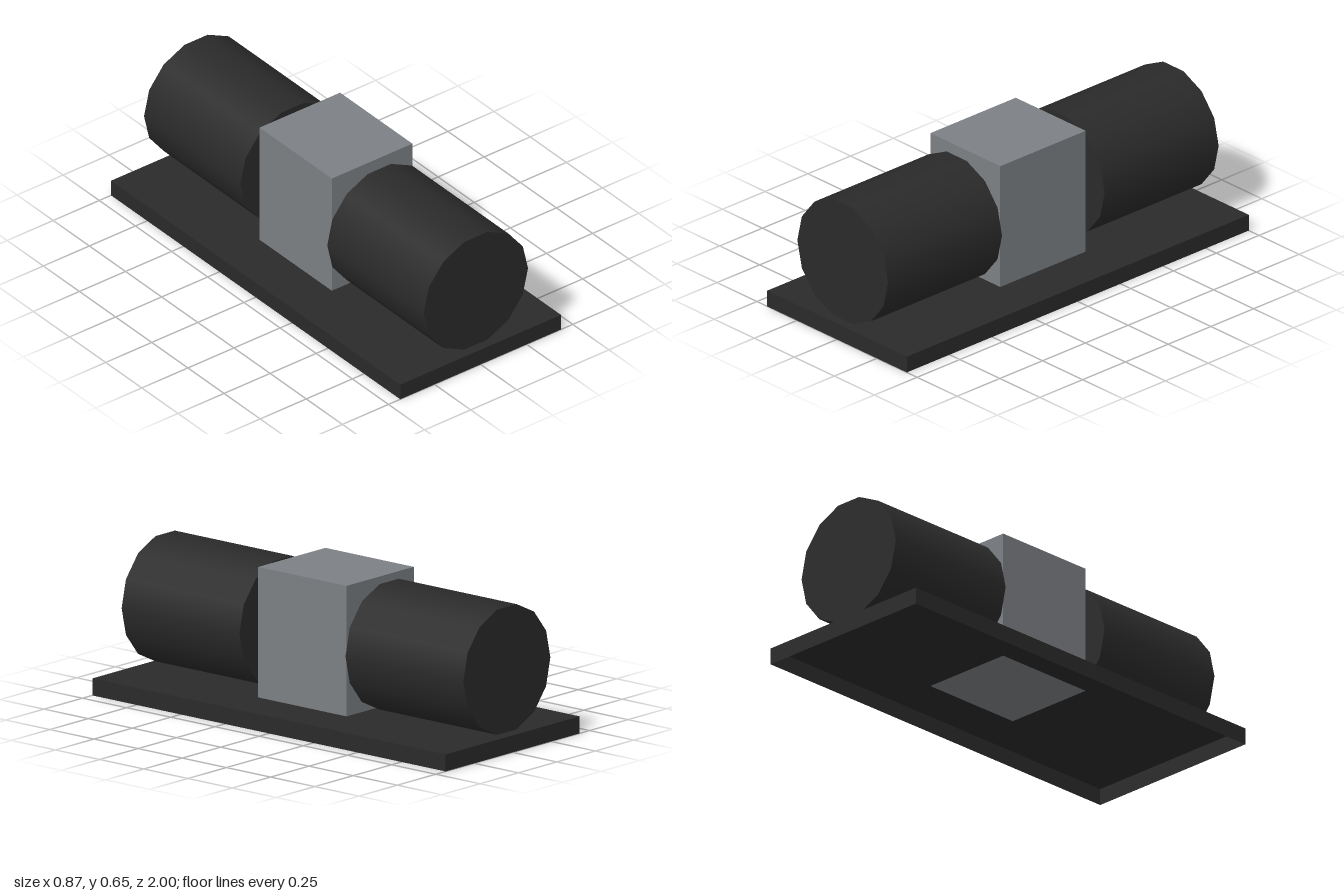
import * as THREE from 'three';

const paint = (color, side = THREE.FrontSide) => new THREE.MeshStandardMaterial({ color, side });

export function createModel() {
  const model = new THREE.Group();
  model.name = 'twinDrumMachine';

  const black = paint(0x2a2a2a);
  const grey = paint(0x7c8084);
  const steel = paint(0xb4b4b4);

  const add = (name, geometry, material, x, y, z) => {
    const mesh = new THREE.Mesh(geometry, material);
    mesh.name = name;
    mesh.position.set(x, y, z);
    model.add(mesh);
  };

  // cylinder lying along z, with a vertex on the x axis
  const lyingCylinder = (radius, length, sides) =>
    new THREE.CylinderGeometry(radius, radius, length, sides, 1, false, Math.PI / 2).rotateX(Math.PI / 2);

  // base tray: a thin-walled box left open underneath
  const tray = new THREE.BoxGeometry(0.872, 0.075, 2);
  const index = Array.from(tray.index.array);
  index.splice(18, 6); // drop the bottom face
  tray.setIndex(index);
  tray.clearGroups();
  add('baseTray', tray, paint(0x2a2a2a, THREE.DoubleSide), 0, 0.0375, 0);

  // central housing block
  add('housing', new THREE.BoxGeometry(0.437, 0.575, 0.5), grey, 0, 0.3625, 0);

  // a drum and its connecting rod at each end
  for (const [end, s] of [['front', 1], ['back', -1]]) {
    add(end + 'Drum', lyingCylinder(0.283, 0.667, 14), black, 0, 0.36, s * 0.6335);
    add(end + 'Rod', lyingCylinder(0.043, 0.05, 14), steel, 0, 0.507, s * 0.275);
  }
  return model;
}
